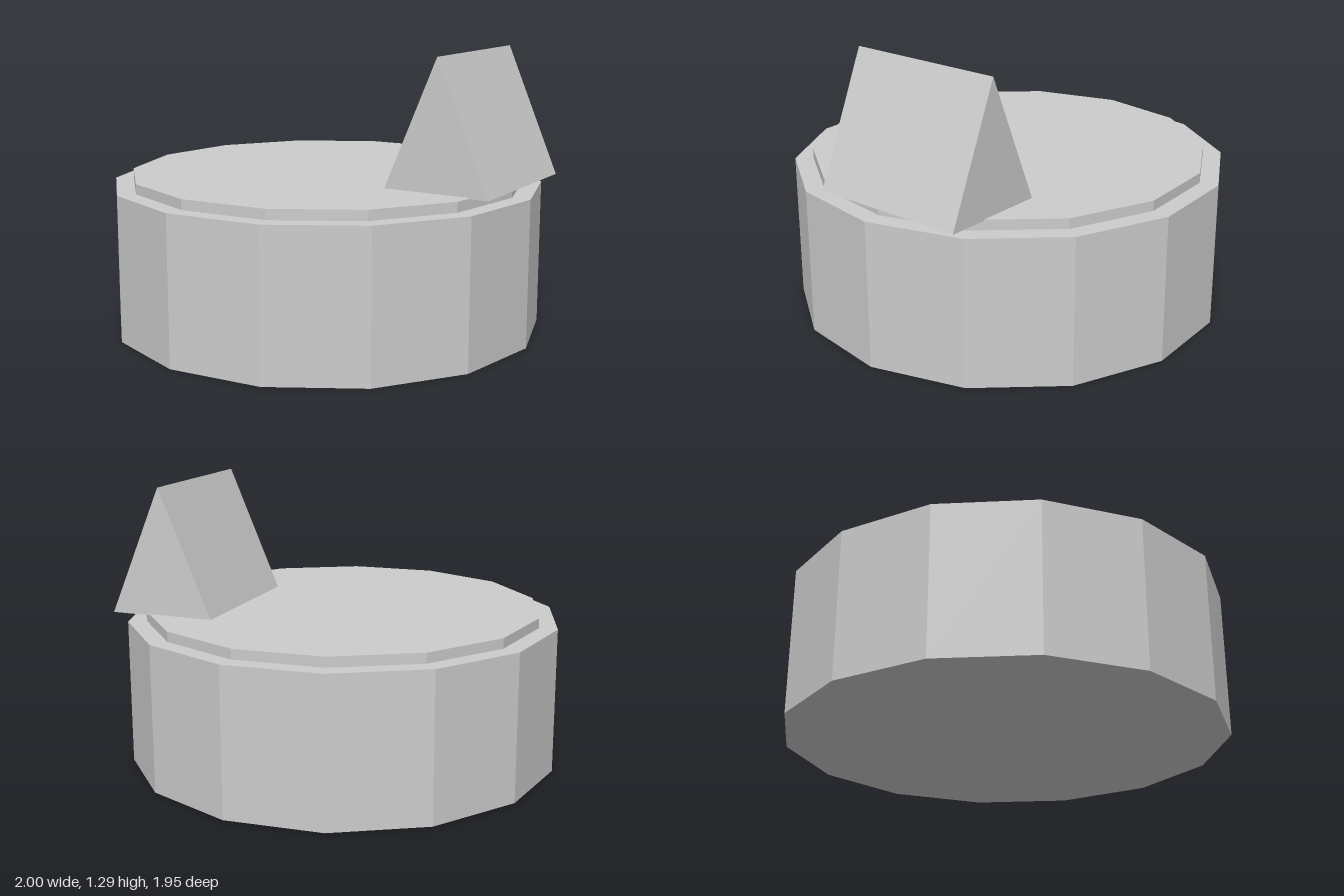
import * as THREE from 'three';

const SIDES = 14;

export function createModel() {
  const model = new THREE.Group();
  const grey = new THREE.MeshStandardMaterial({ color: 0xcccccc, flatShading: true });
  grey.name = 'light grey';

  // Fourteen-sided drum with a corner on the x axis
  function drum(name, radius, bottom, top) {
    const geometry = new THREE.CylinderGeometry(radius, radius, top - bottom, SIDES, 1, false, Math.PI / SIDES);
    const mesh = new THREE.Mesh(geometry, grey);
    mesh.name = name;
    mesh.position.y = (bottom + top) / 2;
    model.add(mesh);
  }
  drum('body', 1, 0, 0.67);
  drum('raisedTop', 0.915, 0.67, 0.716);

  // Triangular prism standing near the rim, ridge running diagonally
  const width = 0.495, height = 0.584, length = 0.746;
  const triangle = new THREE.Shape([
    new THREE.Vector2(-width / 2, 0),
    new THREE.Vector2(width / 2, 0),
    new THREE.Vector2(0, height),
  ]);
  const prism = new THREE.ExtrudeGeometry(triangle, { depth: length, bevelEnabled: false });
  prism.translate(0, 0, -length / 2);
  const wedge = new THREE.Mesh(prism, grey);
  wedge.name = 'wedge';
  wedge.position.set(0.498, 0.711, 0.498);
  wedge.rotation.y = Math.atan2(0.61, -0.43);
  model.add(wedge);

  return model;
}
